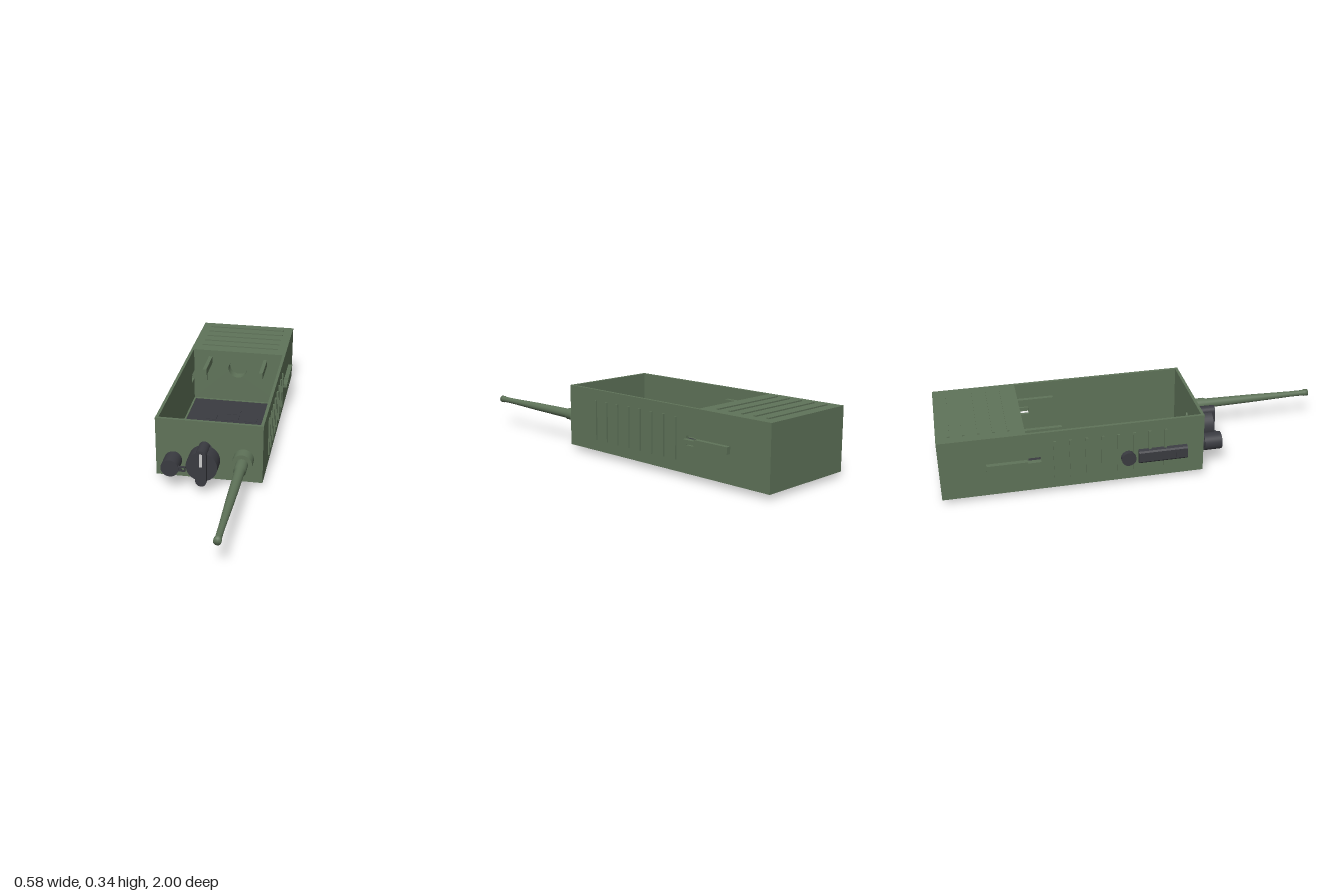
import * as THREE from 'three';

const mat = (color) => new THREE.MeshStandardMaterial({ color });
const green = mat(0x5f7359), dark = mat(0x3a3b41), pale = mat(0xcccccc);

export function createModel() {
  const root = new THREE.Group();

  const add = (name, geo, m) => {
    const mesh = new THREE.Mesh(geo, m);
    mesh.name = name;
    root.add(mesh);
    return mesh;
  };
  // box given by its limits on each axis
  const box = (name, x0, x1, y0, y1, z0, z1, m = green) => {
    const b = add(name, new THREE.BoxGeometry(x1 - x0, y1 - y0, z1 - z0), m);
    b.position.set((x0 + x1) / 2, (y0 + y1) / 2, (z0 + z1) / 2);
    return b;
  };
  // cylinder along z from z0 to z1
  const cylZ = (name, x, y, z0, z1, r, m = dark, r2 = r) => {
    const g = new THREE.CylinderGeometry(r2, r, z1 - z0, 40).rotateX(Math.PI / 2);
    const c = add(name, g, m);
    c.position.set(x, y, (z0 + z1) / 2);
    return c;
  };
  const rectPoints = (a0, a1, b0, b1) => [[a0, b0], [a1, b0], [a1, b1], [a0, b1]]
    .map(([a, b]) => new THREE.Vector2(a, b));
  const rect = (...l) => new THREE.Shape(rectPoints(...l));
  const rectHole = (...l) => new THREE.Path(rectPoints(...l).reverse());
  const roundHole = (x, y, r) => new THREE.Path().absarc(x, y, r, 0, Math.PI * 2, true);
  const extrude = (shape, depth) =>
    new THREE.ExtrudeGeometry(shape, { depth, bevelEnabled: false, curveSegments: 20 });

  // side walls with a latch slot, side ribs and outer latch
  for (const s of [-1, 1]) {
    const wall = rect(-0.585, 0.285, 0.025, 0.335);
    wall.holes.push(rectHole(-0.58, -0.52, 0.158, 0.204));
    add('sideWall', extrude(wall, 0.015).rotateY(-Math.PI / 2), green).position.x = s > 0 ? 0.265 : -0.25;
    const spanX = (a, b) => (s > 0 ? [a, b] : [-b, -a]);
    for (let i = 0; i < 8; i++) {
      const z = 0.09 - i * 0.0775;
      box('sideRib', ...spanX(0.262, 0.273), 0.08, 0.283, z - 0.007, z + 0.007);
    }
    box('sideLatch', ...spanX(0.265, 0.288), 0.163, 0.197, -0.78, -0.585);
    box('latchTongue', ...spanX(0.262, 0.288), 0.17, 0.19, -0.585, -0.52);
    // inner prongs reaching from the battery into the case
    box('innerProng', ...spanX(0.145, 0.165), 0.26, 0.298, -0.585, -0.4);
  }
  box('prongHook', -0.165, -0.145, 0.225, 0.26, -0.44, -0.415);

  // front wall of the case
  const end = rect(-0.25, 0.25, 0.025, 0.335);
  end.holes.push(roundHole(0, 0.2, 0.014));
  add('frontWall', extrude(end, 0.015), green).position.z = 0.27;

  // battery block, with a round recess facing the case
  box('battery', -0.265, 0.265, 0.025, 0.335, -1, -0.64);
  const face = rect(-0.265, 0.265, 0.025, 0.335);
  face.holes.push(roundHole(0, 0.232, 0.053));
  add('batteryFace', extrude(face, 0.055), green).position.z = -0.64;
  for (let i = 0; i < 5; i++) {
    const z = -0.94 + i * 0.07;
    box('batteryRib', -0.215, 0.215, 0.33, 0.341, z - 0.006, z + 0.006);
  }

  // floor rim and control panel, flat shapes extruded upward
  const flat = (name, shape, y, h, m) =>
    add(name, extrude(shape, h).rotateX(-Math.PI / 2), m).position.y = y;
  const rim = rect(-0.25, 0.25, -0.27, 0.585);
  rim.holes.push(rectHole(-0.24, 0.24, -0.252, 0.575));
  flat('floorRim', rim, 0.025, 0.012, green);
  const panel = rect(-0.24, 0.24, -0.252, 0.575);
  for (let i = 0; i < 6; i++) {
    const z = 0.128 + i * 0.02;
    panel.holes.push(rectHole(0.04, 0.16, -z - 0.01, -z));
  }
  panel.holes.push(rectHole(0.099, 0.103, -0.1, 0.01));
  flat('controlPanel', panel, 0.024, 0.01, dark);
  box('screen', -0.1, 0.098, 0.022, 0.028, -0.01, 0.1, dark);

  // keys with raised marks beneath the panel
  const keys = [[0, -0.43], [-0.112, -0.355], [0, -0.355], [0.112, -0.355],
    [0, -0.275], [-0.185, -0.235], [0.185, -0.235]];
  for (const [x, z] of keys) {
    const w = Math.abs(x) > 0.15 ? 0.025 : Math.abs(x) > 0.1 ? 0.034 : 0.043;
    box('key', x - w, x + w, 0.006, 0.036, z - 0.027, z + 0.027, dark);
    box('keyMark', x - 0.014, x + 0.014, 0, 0.007, z - 0.005, z + 0.005, pale);
  }

  // screw bosses inside
  for (const x of [-0.138, 0.132]) for (const z of [-0.03, 0.11]) {
    const g = new THREE.CylinderGeometry(0.021, 0.021, 0.016, 24);
    add('screwBoss', g, dark).position.set(x, 0.04, z);
  }

  // talk button and round key on the right side
  const pad = new THREE.Shape();
  pad.moveTo(0.11, -0.262).lineTo(0.185, -0.262).lineTo(0.18, -0.282)
    .lineTo(0.172, -0.288).lineTo(0.123, -0.288).lineTo(0.115, -0.282);
  // the pad section (y, x) is swept along z
  const padGeo = extrude(pad, 0.245).rotateZ(Math.PI / 2).scale(1, 1, 1);
  padGeo.rotateZ(Math.PI);
  padGeo.translate(0, 0.295, 0);
  padGeo.computeBoundingBox();
  const bb = padGeo.boundingBox;
  padGeo.translate(-0.288 - bb.min.x, 0.11 - bb.min.y, -0.045);
  // keep the chamfered face outward
  padGeo.translate(0.275, 0, 0).rotateY(0).translate(-0.275, 0, 0);
  add('talkButton', padGeo, dark);
  for (let i = 0; i < 4; i++) {
    const z = 0.1 + i * 0.022;
    box('talkGrip', -0.29, -0.28, 0.125, 0.17, z - 0.004, z + 0.004, dark);
  }
  const roundKey = new THREE.CylinderGeometry(0.036, 0.036, 0.027, 32).rotateZ(Math.PI / 2);
  add('roundKey', roundKey, dark).position.set(-0.276, 0.147, -0.095);

  // selector knob with bar handle and pointer
  const kx = -0.017, ky = 0.145;
  cylZ('selectorShaft', kx, ky, 0.245, 0.312, 0.036);
  cylZ('selectorDisc', kx, ky, 0.31, 0.39, 0.077);
  const bar = new THREE.Shape();
  bar.absarc(0, 0.069, 0.027, 0, Math.PI);
  bar.absarc(0, -0.069, 0.027, Math.PI, Math.PI * 2);
  add('selectorHandle', extrude(bar, 0.102), dark).position.set(kx, ky, 0.307);
  box('selectorPointer', kx - 0.007, kx + 0.007, 0.155, 0.224, 0.405, 0.411, pale);

  // socket cap with pierced tab
  cylZ('capNeck', -0.172, 0.128, 0.245, 0.315, 0.031);
  cylZ('socketCap', -0.172, 0.128, 0.31, 0.4, 0.044);
  const tab = rect(-0.15, -0.095, 0.115, 0.141);
  tab.holes.push(roundHole(-0.107, 0.128, 0.008));
  add('capTab', extrude(tab, 0.01), dark).position.z = 0.388;

  // antenna: collar and tapering whip
  const ax = 0.171, ay = 0.153;
  cylZ('antennaCollar', ax, ay, 0.28, 0.345, 0.05, green);
  const whip = [[0.03, 0.34], [0.03, 0.41], [0.025, 0.42], [0.021, 0.68], [0.015, 0.9],
    [0.015, 0.97], [0.018, 0.98], [0.018, 1], [0, 1]].map(([r, z]) => new THREE.Vector2(r, z));
  const whipGeo = new THREE.LatheGeometry(whip, 32).rotateX(Math.PI / 2);
  add('antennaWhip', whipGeo, green).position.set(ax, ay, 0);

  return root;
}
